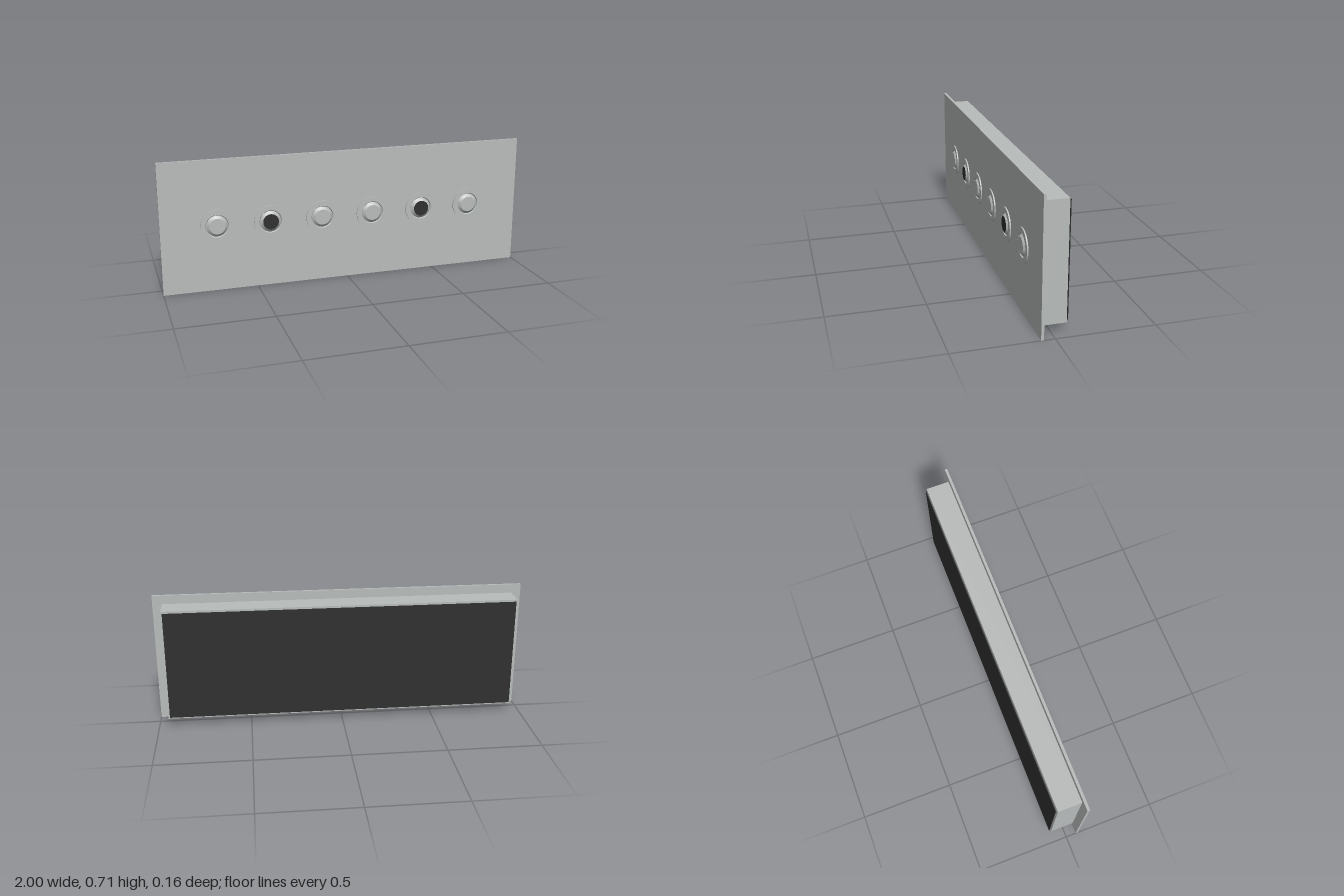
import * as THREE from 'three';
import { toCreasedNormals } from 'three/addons/utils/BufferGeometryUtils.js';

export function createModel() {
  const model = new THREE.Group();
  model.name = 'wallPanel';

  const grey = new THREE.MeshStandardMaterial({ color: 0xb8bcbb });
  grey.name = 'brushed grey';
  const black = new THREE.MeshStandardMaterial({ color: 0x2f2f2f });
  black.name = 'matt black';

  const centreY = 0.354;
  const add = (name, geometry, material, x, y, z) => {
    const mesh = new THREE.Mesh(geometry, material);
    mesh.name = name;
    mesh.position.set(x, y, z);
    model.add(mesh);
  };
  const box = (name, w, h, z0, z1, material) =>
    add(name, new THREE.BoxGeometry(w, h, z1 - z0), material, 0, centreY, (z0 + z1) / 2);

  // Front plate, housing behind it and separate thin back sheet
  box('frontPlate', 2, 0.707, 0.055, 0.069, grey);
  box('housing', 1.896, 0.612, -0.072, 0.055, grey);
  box('backSheet', 1.88, 0.593, -0.081, -0.077, black);

  // Raised collar, sunken groove and conical button rising from it
  const profile = [
    [0.088, 0], [0.088, 0.007], [0.061, 0.007], [0.057, 0.0005], [0.042, 0.013],
  ].map(([r, h]) => new THREE.Vector2(r, h));
  const bezel = toCreasedNormals(new THREE.LatheGeometry(profile, 32).rotateX(Math.PI / 2), 0.4);
  const cap = new THREE.CircleGeometry(0.042, 32);

  // Row of six buttons, the second from each end with a black cap
  [-0.707, -0.424, -0.141, 0.141, 0.424, 0.707].forEach((x, i) => {
    add('buttonBezel', bezel, grey, x, centreY, 0.069);
    add('buttonCap', cap, i === 1 || i === 4 ? black : grey, x, centreY, 0.082);
  });

  return model;
}
